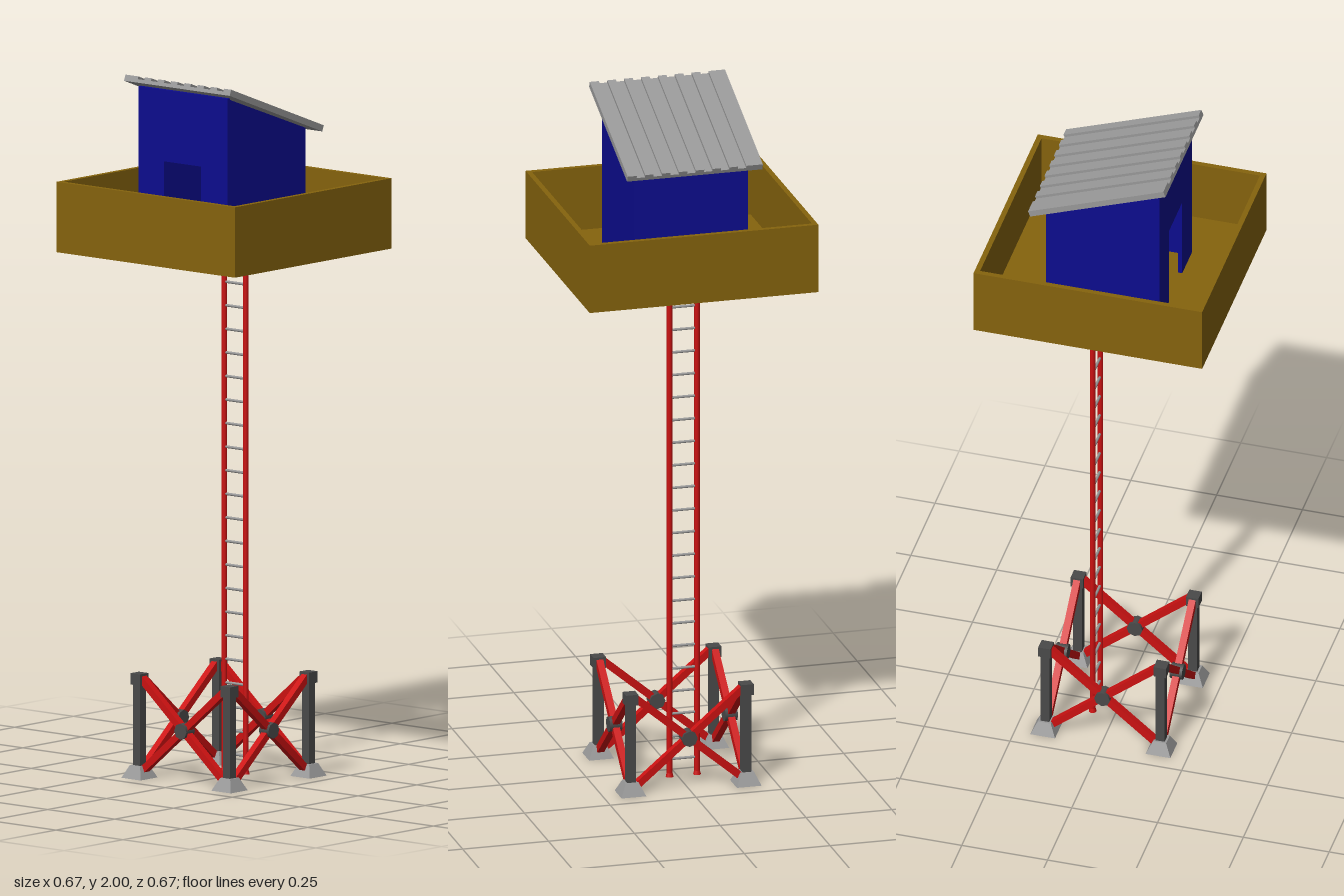
import * as THREE from 'three';

const material = (name, color) => {
  const m = new THREE.MeshStandardMaterial({ color });
  m.name = name;
  return m;
};

export function createModel() {
  const brown = material('ochre wood', 0x85630d);
  const blue = material('dark blue', 0x0c0c8e);
  const red = material('red steel', 0xcc1212);
  const grey = material('light grey', 0x999999);
  const dark = material('dark grey', 0x4a4a4a);

  const model = new THREE.Group();
  model.name = 'watchtower';

  const add = (parent, name, geometry, mat, x = 0, y = 0, z = 0) => {
    const mesh = new THREE.Mesh(geometry, mat);
    mesh.name = name;
    mesh.position.set(x, y, z);
    parent.add(mesh);
    return mesh;
  };
  const group = (name, parent = model) => {
    const g = new THREE.Group();
    g.name = name;
    parent.add(g);
    return g;
  };
  const box = (w, h, d) => new THREE.BoxGeometry(w, h, d);
  const polygon = (points) => new THREE.Shape(points.map(([x, y]) => new THREE.Vector2(x, y)));
  const extrude = (shape, depth) =>
    new THREE.ExtrudeGeometry(shape, { depth, bevelEnabled: false, curveSegments: 12 });

  // Base: four posts with caps and splayed feet
  const base = group('base');
  const S = 0.168;
  for (const x of [-S, S]) {
    for (const z of [-S, S]) {
      add(base, 'post', box(0.026, 0.27, 0.026), dark, x, 0.155, z);
      add(base, 'postCap', box(0.036, 0.032, 0.036), dark, x, 0.285, z);
      const foot = new THREE.CylinderGeometry(0.019 * Math.SQRT2, 0.036 * Math.SQRT2, 0.036, 4);
      foot.rotateY(Math.PI / 4);
      const mesh = add(base, 'foot', foot.toNonIndexed(), grey, x, 0.022, z);
      mesh.geometry.computeVertexNormals();
    }
  }

  // Cross braces with a hub on each of the four sides
  const braceAngle = Math.atan2(0.27, 0.32);
  for (let i = 0; i < 4; i++) {
    const side = group('braceSide', base);
    side.rotation.y = (i * Math.PI) / 2;
    for (const s of [-1, 1]) {
      const bar = add(side, 'brace', box(0.42, 0.02, 0.02), red, 0, 0.155, S);
      bar.rotation.z = s * braceAngle;
    }
    const hub = add(side, 'braceHub', new THREE.CylinderGeometry(0.023, 0.023, 0.036, 8), dark, 0, 0.155, S);
    hub.rotation.x = Math.PI / 2;
  }

  // Ladder rising through the platform hatch
  const ladder = group('ladder');
  ladder.position.set(-0.015, 0, -0.064);
  for (const x of [-0.04, 0.04]) {
    add(ladder, 'ladderRail', new THREE.CylinderGeometry(0.008, 0.008, 1.585, 10), red, x, 0.8, 0);
    add(ladder, 'ladderFoot', new THREE.CylinderGeometry(0.008, 0.011, 0.012, 10), red, x, 0.012, 0);
  }
  for (let i = 0; i < 23; i++) {
    const rung = add(ladder, 'rung', new THREE.CylinderGeometry(0.004, 0.004, 0.08, 8), grey, 0, 0.058 + i * 0.067, 0);
    rung.rotation.z = Math.PI / 2;
  }

  // Platform: floor with a round hatch, and a parapet
  const platform = group('platform');
  const P = 0.333, W = 0.015;
  const square = (r) => [[-r, -r], [r, -r], [r, r], [-r, r]];
  const floorShape = polygon(square(P));
  floorShape.holes.push(new THREE.Path().absarc(-0.015, 0.02, 0.062, 0, Math.PI * 2, true));
  const floor = add(platform, 'floor', extrude(floorShape, W), brown, 0, 1.5, 0);
  floor.rotation.x = -Math.PI / 2;
  const rim = polygon(square(P));
  rim.holes.push(polygon(square(P - W).reverse()));
  const parapet = add(platform, 'parapet', extrude(rim, 0.2 - W), brown, 0, 1.5 + W, 0);
  parapet.rotation.x = -Math.PI / 2;

  // Cabin: four walls under a sloping top, doorway in front
  const cabin = group('cabin');
  const x0 = -0.175, x1 = 0.157, zf = 0.165, zb = -0.167, y0 = 1.515, t = 0.012;
  const yf = 1.968, yb = 1.845;
  const front = polygon([
    [x0, y0], [-0.08, y0], [-0.08, 1.765], [0.058, 1.765], [0.058, y0], [x1, y0], [x1, yf], [x0, yf],
  ]);
  add(cabin, 'frontWall', extrude(front, t), blue, 0, 0, zf - t);
  add(cabin, 'backWall', box(x1 - x0, yb - y0, t), blue, (x0 + x1) / 2, (y0 + yb) / 2, zb + t / 2);
  const sideShape = polygon([[-zf, y0], [-zb, y0], [-zb, yb], [-zf, yf]]);
  for (const x of [x0, x1 - t]) {
    const wall = add(cabin, 'sideWall', extrude(sideShape, t), blue, x, 0, 0);
    wall.rotation.y = Math.PI / 2;
  }

  // Roof: ribbed sheet sloping down to the back
  const top = [[-0.206, -0.018], [-0.206, 0]];
  for (let i = 0; i < 7; i++) {
    const a = -0.158 + i * 0.0491, b = a + 0.0245;
    top.push([a, 0], [a, -0.008], [b, -0.008], [b, 0]);
  }
  top.push([0.188, 0], [0.188, -0.018]);
  const roof = add(model, 'roof', extrude(polygon(top.reverse()), 0.4216), grey, 0, 1.85, -0.21);
  roof.rotation.x = -0.364;

  return model;
}
